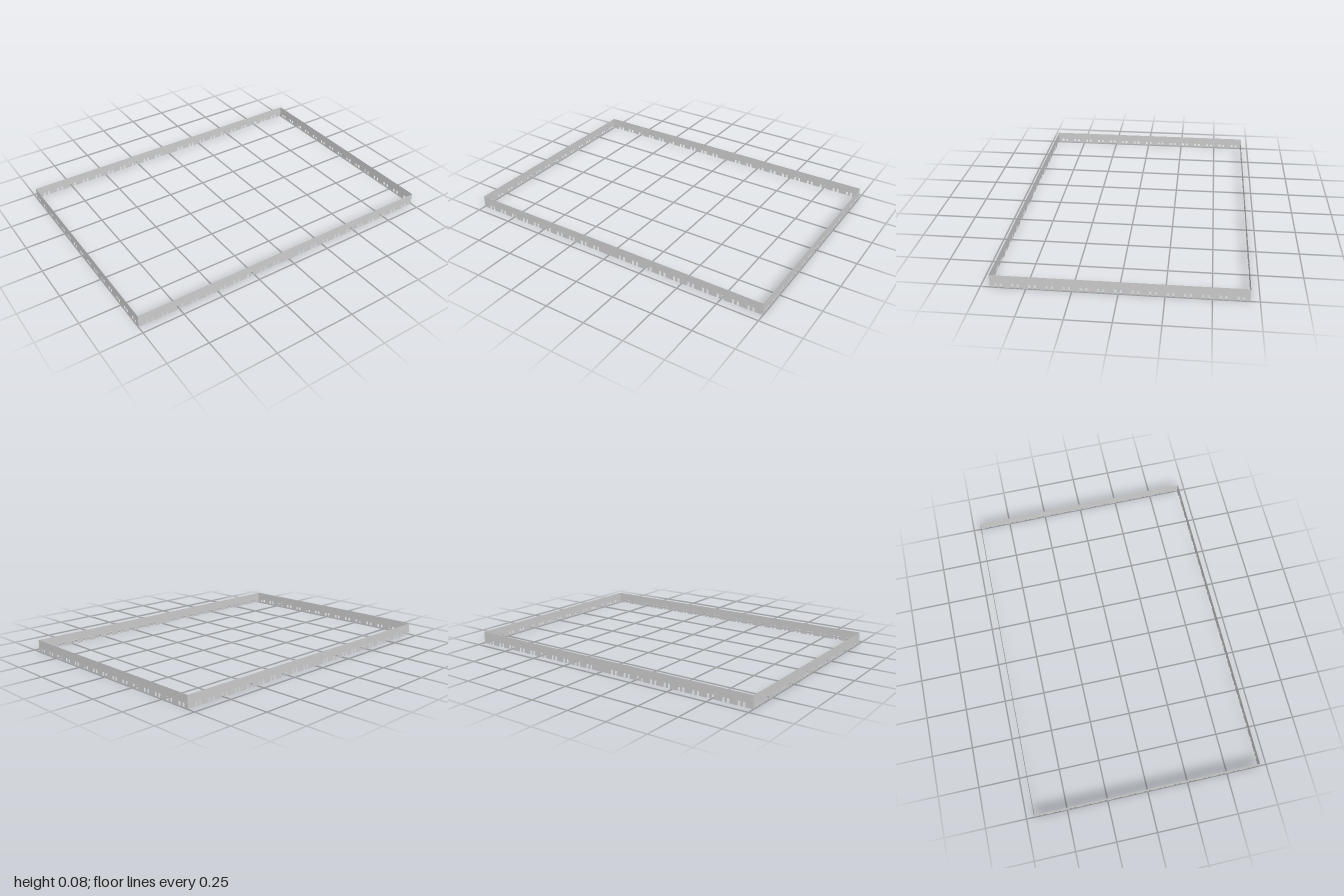
import * as THREE from 'three';
import { mergeGeometries } from 'three/addons/utils/BufferGeometryUtils.js';

const HEIGHT = 0.075, SLOT_H = 0.026, SLOT_W = 0.013;
const PITCH = 0.093, OFFSET = 0.0145; // spacing of slot pairs, half distance within a pair
const LEAN = 0.002; // outward lean of the teeth at their foot
const HALF_X = 0.998, HALF_Z = 0.698;

// Thin sheet wall facing +z, with teeth cut between pairs of slots
function wallGeometry(half, pairs, skipMiddle) {
  const band = new THREE.PlaneGeometry(2 * half, HEIGHT - SLOT_H);
  band.translate(0, (HEIGHT + SLOT_H) / 2, 0);
  const parts = [band];

  const slots = [];
  for (let k = -pairs; k <= pairs; k++) {
    if (k === 0 && skipMiddle) continue;
    slots.push(k * PITCH - OFFSET, k * PITCH + OFFSET);
  }

  // Teeth: the spans left standing between the slots
  for (let i = 0; i <= slots.length; i++) {
    const isEnd = i === 0 || i === slots.length;
    const a = i === 0 ? -half : slots[i - 1] + SLOT_W / 2;
    const b = i === slots.length ? half : slots[i] - SLOT_W / 2;
    const tooth = new THREE.PlaneGeometry(b - a, SLOT_H);
    tooth.translate((a + b) / 2, SLOT_H / 2, 0);
    if (!isEnd) {
      const p = tooth.attributes.position;
      for (let v = 0; v < p.count; v++) p.setZ(v, LEAN * (1 - p.getY(v) / SLOT_H));
    }
    parts.push(tooth);
  }
  return mergeGeometries(parts);
}

export function createModel() {
  const group = new THREE.Group();
  group.name = 'slottedFrame';
  const material = new THREE.MeshStandardMaterial({ color: 0xcccccc, side: THREE.DoubleSide });

  const longWall = wallGeometry(HALF_X, 10, true);
  const shortWall = wallGeometry(HALF_Z, 7, false);

  // Four walls, each turned to face outward
  ['frontWall', 'leftWall', 'backWall', 'rightWall'].forEach((name, i) => {
    const isLong = i % 2 === 0;
    const angle = (i * Math.PI) / 2;
    const distance = isLong ? HALF_Z : HALF_X;
    const wall = new THREE.Mesh(isLong ? longWall : shortWall, material);
    wall.name = name;
    wall.rotation.y = angle;
    wall.position.set(Math.sin(angle) * distance, 0, Math.cos(angle) * distance);
    group.add(wall);
  });
  return group;
}
